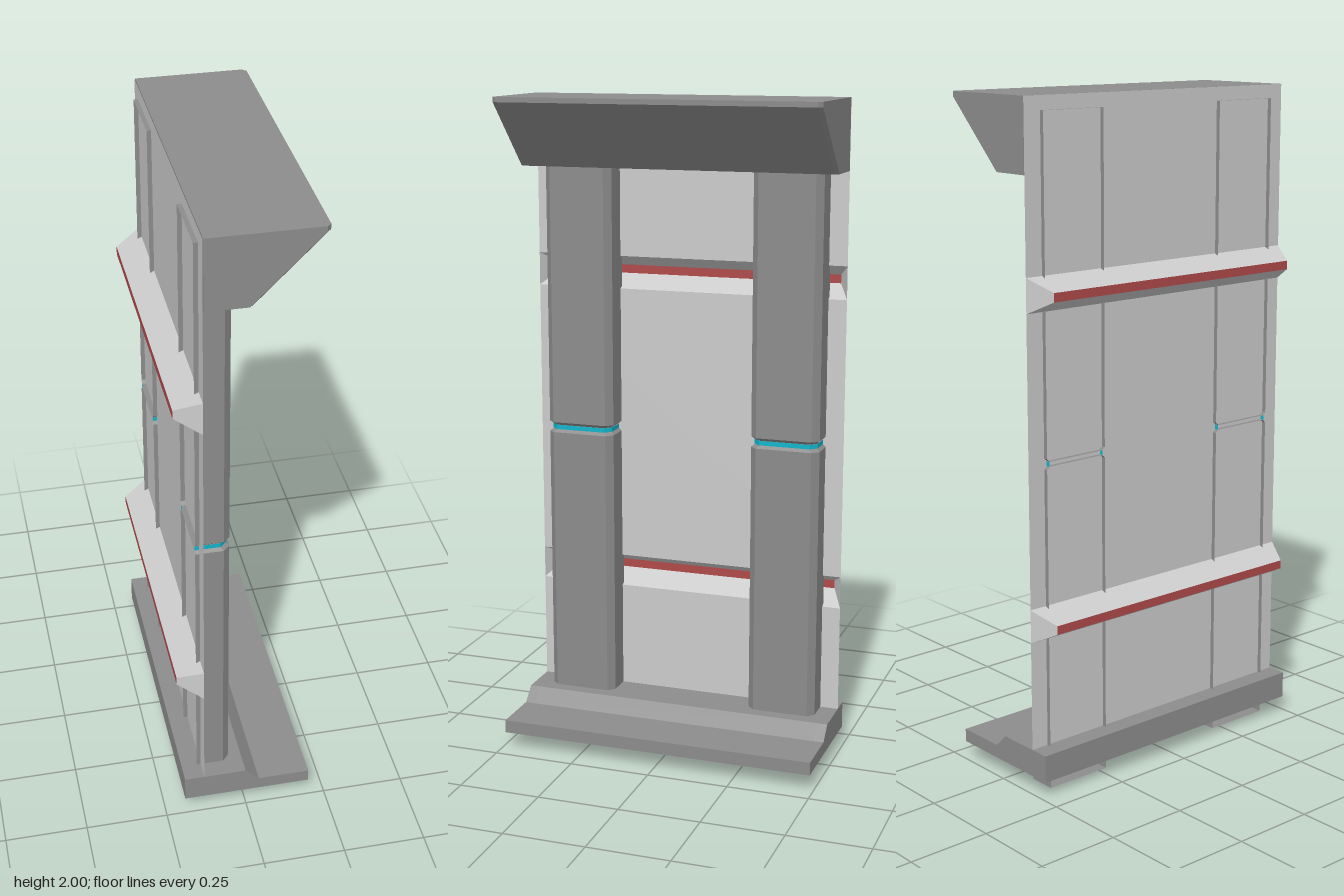
import * as THREE from 'three';

const paint = (color) => new THREE.MeshStandardMaterial({ color, flatShading: true, side: THREE.DoubleSide });
const light = paint(0xcccccc), dark = paint(0x8c8c8c), red = paint(0xb04a4a), cyan = paint(0x12b5cb);

function add(parent, name, geometry, material) {
  const mesh = new THREE.Mesh(geometry, material);
  mesh.name = name;
  parent.add(mesh);
  return mesh;
}

// Skin through cross-sections (arrays of [x, y, z]); optional flat caps on convex ends
function loft(sections, { closed = true, capStart = true, capEnd = true } = {}) {
  const n = sections[0].length, pos = [];
  const tri = (a, b, c) => pos.push(...a, ...b, ...c);
  for (let s = 0; s < sections.length - 1; s++) {
    const p = sections[s], q = sections[s + 1];
    for (let i = 0; i < (closed ? n : n - 1); i++) {
      const j = (i + 1) % n;
      tri(p[i], p[j], q[j]);
      tri(p[i], q[j], q[i]);
    }
  }
  const first = sections[0], last = sections[sections.length - 1];
  for (let i = 1; i < n - 1; i++) {
    if (capStart) tri(first[0], first[i + 1], first[i]);
    if (capEnd) tri(last[0], last[i], last[i + 1]);
  }
  const g = new THREE.BufferGeometry();
  g.setAttribute('position', new THREE.Float32BufferAttribute(pos, 3));
  g.computeVertexNormals();
  return g;
}

// Extrude an x-y outline between two z values
function slab(points, z0, z1) {
  const shape = new THREE.Shape(points.map(([x, y]) => new THREE.Vector2(x, y)));
  return new THREE.ExtrudeGeometry(shape, { depth: z1 - z0, bevelEnabled: false }).translate(0, 0, z0);
}

// Pillar section at height y: a channel open to the back, front corners chamfered
function channel(y, inset = 0) {
  const back = -0.143, front = -0.04 - inset, half = 0.106 - inset, c = 0.02;
  return [[back, -half], [front - c, -half], [front, c - half],
    [front, half - c], [front - c, half], [back, half]].map(([x, z]) => [x, y, z]);
}

function pillar(name, z) {
  const g = new THREE.Group();
  g.name = name;
  g.position.z = z;
  add(g, 'lowerPost', loft([channel(0), channel(0.965), channel(0.974, 0.01)], { closed: false }), dark);
  add(g, 'lightBand', loft([channel(0.974, 0.008), channel(0.988, 0.008)],
    { closed: false, capStart: false, capEnd: false }), cyan);
  add(g, 'upperPost', loft([channel(0.988, 0.01), channel(0.997), channel(1.96)], { closed: false }), dark);
  return g;
}

// Rail section: a rectangle across y and z at depth x
const rect = (x, y0, y1, hz) => [[x, y0, -hz], [x, y1, -hz], [x, y1, hz], [x, y0, hz]];

function rail(name, y) {
  const g = new THREE.Group();
  g.name = name;
  g.position.y = y;
  const tip = rect(-0.205, -0.012, 0.014, 0.453);
  add(g, 'railBody', loft([rect(-0.13, -0.05, 0.05, 0.49), tip], { capStart: false, capEnd: false }), light);
  add(g, 'railStripe', loft([tip, tip], { capStart: false }), red);
  return g;
}

export function createModel() {
  const model = new THREE.Group();
  model.name = 'totemStand';
  const W = 0.49;

  // Thin back panel, interrupted where the hollow rails open into it
  const railHeights = [0.51, 1.463];
  const bands = [[0.06, 0.46], [0.56, 1.413], [1.513, 2]];
  bands.forEach(([y0, y1], i) => {
    const g = new THREE.PlaneGeometry(2 * W, y1 - y0).rotateY(-Math.PI / 2).translate(-0.13, (y0 + y1) / 2, 0);
    add(model, `backPanel${i + 1}`, g, light);
  });
  model.add(rail('lowerRail', railHeights[0]), rail('upperRail', railHeights[1]));

  // Pair of pillars
  model.add(pillar('leftPillar', 0.328), pillar('rightPillar', -0.328));

  // Sloped canopy with its front edges softened at both ends
  const canopyAt = (z, d) => [[-0.128, 2], [0.2 - d, 2], [0.2 - d, 1.985], [0.005 - d, 1.79], [-0.128, 1.79]]
    .map(([x, y]) => [x, y, z]);
  add(model, 'canopy', loft([canopyAt(-W, 0.012), canopyAt(-W + 0.012, 0),
    canopyAt(W - 0.012, 0), canopyAt(W, 0.012)]), dark);

  // Stepped base: a shell open underneath, closed by end plates
  const outer = [[-0.19, 0.05], [-0.19, 0.132], [0, 0.132], [0.042, 0.09], [0.2, 0.09], [0.2, 0.05]];
  const inner = [[0.17, 0.05], [0.17, 0.07], [0.034, 0.07], [-0.008, 0.112], [-0.16, 0.112], [-0.16, 0.05]];
  const base = new THREE.Group();
  base.name = 'base';
  add(base, 'baseShell', slab([...outer, ...inner], -W + 0.03, W - 0.03), dark);
  add(base, 'leftEndPlate', slab(outer, W - 0.03, W), dark);
  add(base, 'rightEndPlate', slab(outer, -W, -W + 0.03), dark);
  model.add(base);

  return model;
}
